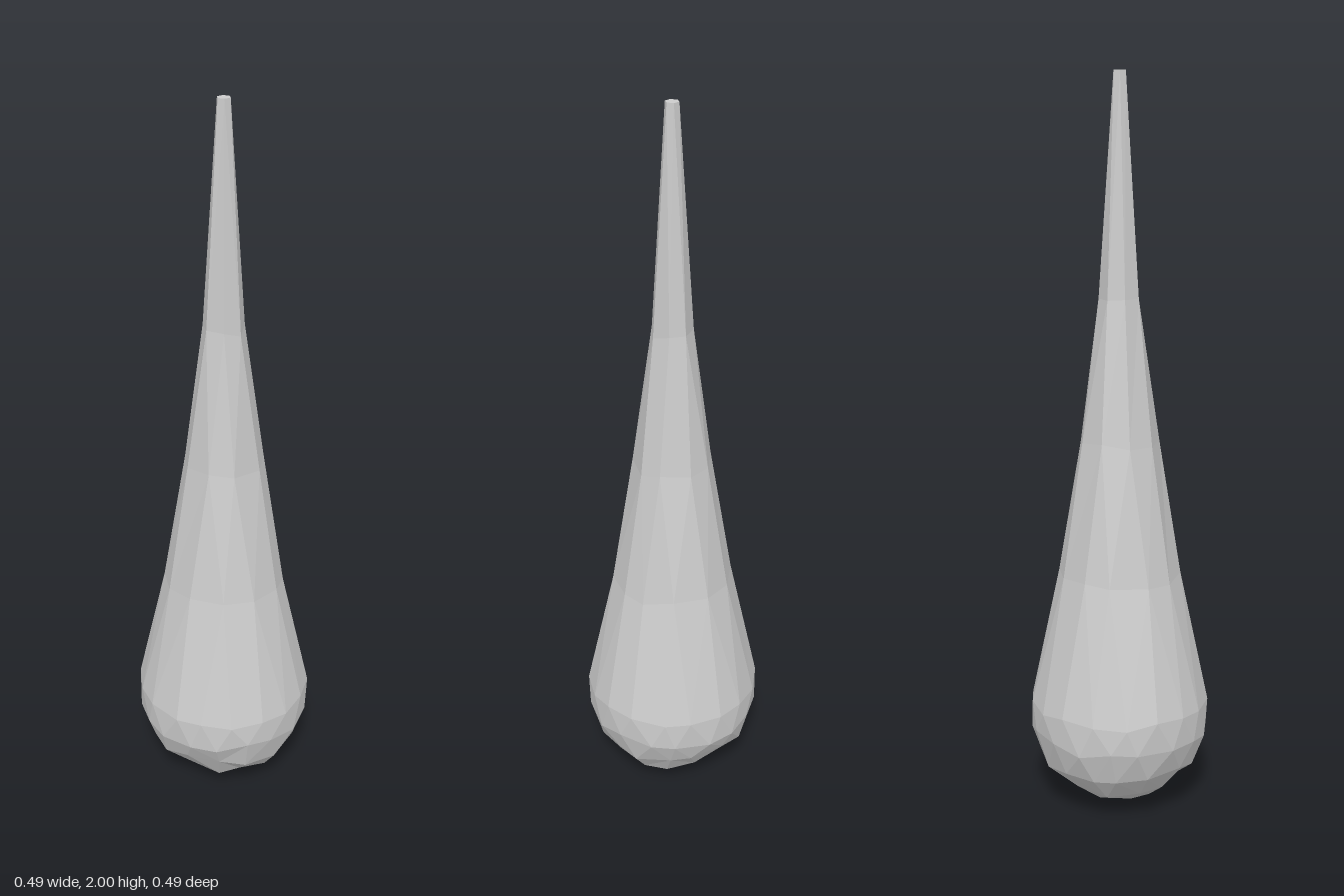
import * as THREE from 'three';

// Rings of the drop from bottom to top: height, radius, corners, phase (in steps), unevenness
const RINGS = [
  [0, 0, 1, 0, 0],
  [0.02, 0.09, 7, 0.2, 0.1],
  [0.07, 0.168, 12, 0.5, 0.2],
  [0.14, 0.218, 16, 0.1, 0.2],
  [0.22, 0.246, 18, 0.5, 0.15],
  [0.3, 0.247, 18, 0, 0.1],
  [0.66, 0.168, 12, 0.3, 0.15],
  [1.03, 0.108, 9, 0.2, 0.15],
  [1.41, 0.056, 7, 0.3, 0.1],
  [2, 0.018, 6, 0, 0],
  [2, 0, 1, 0, 0],
];

function seeded(seed) {
  return () => {
    seed = (seed * 16807) % 2147483647;
    return seed / 2147483647 - 0.5;
  };
}

// Corners of one ring, slightly uneven in angle and height
function makeRing([y, r, n, phase, uneven], rand) {
  return Array.from({ length: n }, (_, i) => {
    const angle = ((i + phase + rand() * uneven * 2) / n) * Math.PI * 2;
    const height = y + rand() * uneven * 0.16;
    return { angle, p: [r * Math.cos(angle), height, r * Math.sin(angle)] };
  });
}

// Triangles between two rings whose corner counts may differ
function stitch(low, high, out) {
  const at = (ring, i) => ring[i % ring.length];
  const angleAt = (ring, i) => at(ring, i).angle + Math.floor(i / ring.length) * Math.PI * 2;
  let i = 0, j = 0;
  while (i < low.length || j < high.length) {
    const a = at(low, i), b = at(high, j);
    const stepLow = j >= high.length ||
      (i < low.length && angleAt(low, i + 1) <= angleAt(high, j + 1));
    const c = stepLow ? at(low, ++i) : at(high, ++j);
    if (c !== a && c !== b) out.push(...a.p, ...b.p, ...c.p);
  }
}

export function createModel() {
  const group = new THREE.Group();
  group.name = 'teardrop';

  const rand = seeded(417);
  const rings = RINGS.map((ring) => makeRing(ring, rand));
  const positions = [];
  for (let k = 0; k + 1 < rings.length; k++) stitch(rings[k], rings[k + 1], positions);

  // Faceted drop with a rounded base and a long thin neck
  const geometry = new THREE.BufferGeometry();
  geometry.setAttribute('position', new THREE.Float32BufferAttribute(positions, 3));
  geometry.computeVertexNormals();
  const drop = new THREE.Mesh(
    geometry,
    new THREE.MeshStandardMaterial({ color: 0xcccccc, flatShading: true })
  );
  drop.name = 'dropBody';
  group.add(drop);
  return group;
}
